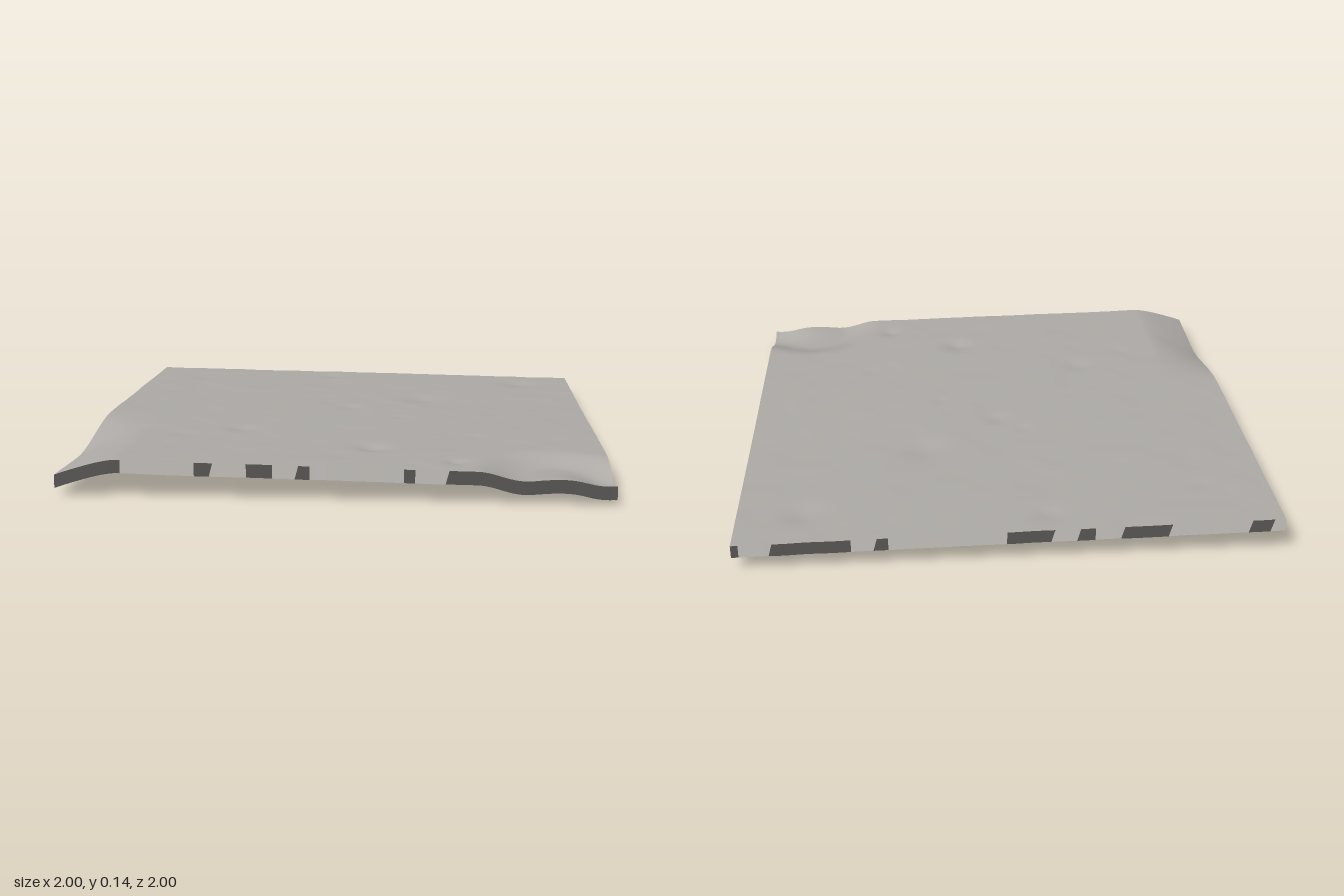
import * as THREE from 'three';

const SKIRT = 0.049;
const SEGMENTS = 150;

// Small shallow pits: x, z, radius, depth
const PITS = [
  [0.3, -0.34, 0.13, 0.01], [0.76, -0.8, 0.11, 0.009], [-0.15, -0.88, 0.08, 0.006],
  [0.13, 0.67, 0.09, 0.012], [-0.41, 0.39, 0.09, 0.007], [0.44, 0.85, 0.06, 0.009],
  [-0.01, -0.1, 0.07, 0.005], [-0.11, -0.2, 0.05, 0.003], [0.52, 0.42, 0.06, 0.003],
  [-0.62, 0.52, 0.06, 0.003], [0.22, 0.09, 0.05, 0.003], [-0.75, -0.72, 0.07, 0.003],
];

// Smooth value noise from a seeded hash
function hash(i, j) {
  const s = Math.sin(i * 127.1 + j * 311.7 + 5.3) * 43758.5453;
  return s - Math.floor(s);
}
function noise(x, z) {
  const i = Math.floor(x), j = Math.floor(z);
  const u = THREE.MathUtils.smoothstep(x - i, 0, 1);
  const v = THREE.MathUtils.smoothstep(z - j, 0, 1);
  const a = THREE.MathUtils.lerp(hash(i, j), hash(i + 1, j), u);
  const b = THREE.MathUtils.lerp(hash(i, j + 1), hash(i + 1, j + 1), u);
  return THREE.MathUtils.lerp(a, b, v) - 0.5;
}

const gauss = (x, z, cx, cz, sx, sz) =>
  Math.exp(-(((x - cx) / sx) ** 2) - ((z - cz) / sz) ** 2);

// Height of the ground surface
function height(x, z) {
  let y = 0.123 - 0.017 * x;
  y += 0.002 * noise(x * 4, z * 4) + 0.002 * noise(x * 11 + 7, z * 11);
  y -= 0.004 * gauss(x, z, 1, -0.3, 0.4, 0.45);

  // Broad crater in the front corner with a low mound, deepest beside the edge
  const r = Math.hypot(x - 0.8, z - 0.92);
  y -= 0.036 * (1 - THREE.MathUtils.smoothstep(r, 0.12, 0.3));
  y -= 0.042 * gauss(x, z, 1.02, 0.92, 0.13, 0.12);
  y += 0.02 * gauss(x, z, 0.84, 1, 0.14, 0.14);

  // Drooping side edge
  const t = Math.max(0, (-0.78 - x) / 0.22);
  const along = THREE.MathUtils.smoothstep(z, 0.15, 0.68);
  y -= (0.071 - 0.01 * Math.max(0, (z - 0.7) / 0.3)) * t ** 1.4 * along;

  for (const [px, pz, radius, depth] of PITS) {
    y -= depth * gauss(x, z, px, pz, radius * 0.6, radius * 0.6);
  }
  return y;
}

// One thin square sheet that follows the ground
function sheet() {
  const geometry = new THREE.PlaneGeometry(2, 2, SEGMENTS, SEGMENTS);
  geometry.rotateX(-Math.PI / 2);
  const p = geometry.attributes.position;
  for (let i = 0; i < p.count; i++) {
    p.setY(i, height(p.getX(i), p.getZ(i)));
  }
  geometry.computeVertexNormals();
  return geometry;
}

// One skirt hanging from an edge, shaded as a continuation of the ground
function skirt(angle) {
  const geometry = new THREE.PlaneGeometry(2, 1, SEGMENTS, 1);
  geometry.translate(0, 0, 1);
  geometry.rotateY(angle);
  const p = geometry.attributes.position;
  const normal = new THREE.Vector3();
  const d = 0.02;
  for (let i = 0; i < p.count; i++) {
    const x = p.getX(i), z = p.getZ(i);
    p.setY(i, height(x, z) - (p.getY(i) > 0 ? 0 : SKIRT));
    normal.set(height(x - d, z) - height(x + d, z), 2 * d, height(x, z - d) - height(x, z + d));
    normal.normalize();
    geometry.attributes.normal.setXYZ(i, normal.x, normal.y, normal.z);
  }
  return geometry;
}

export function createModel() {
  const model = new THREE.Group();
  model.name = 'terrainTile';
  const stone = new THREE.MeshStandardMaterial({ color: 0xaeaba7, side: THREE.DoubleSide });
  stone.name = 'stone grey';

  const add = (name, geometry) => {
    const mesh = new THREE.Mesh(geometry, stone);
    mesh.name = name;
    model.add(mesh);
  };

  // The ground is an open shell: no floor closes the skirts below
  add('groundSurface', sheet());
  ['frontSkirt', 'leftSkirt', 'backSkirt', 'rightSkirt'].forEach((name, i) => {
    add(name, skirt(i * Math.PI / 2));
  });

  // Rest the lowest point on y = 0
  const low = new THREE.Box3().setFromObject(model).min.y;
  model.children.forEach((mesh) => mesh.geometry.translate(0, -low, 0));
  return model;
}
